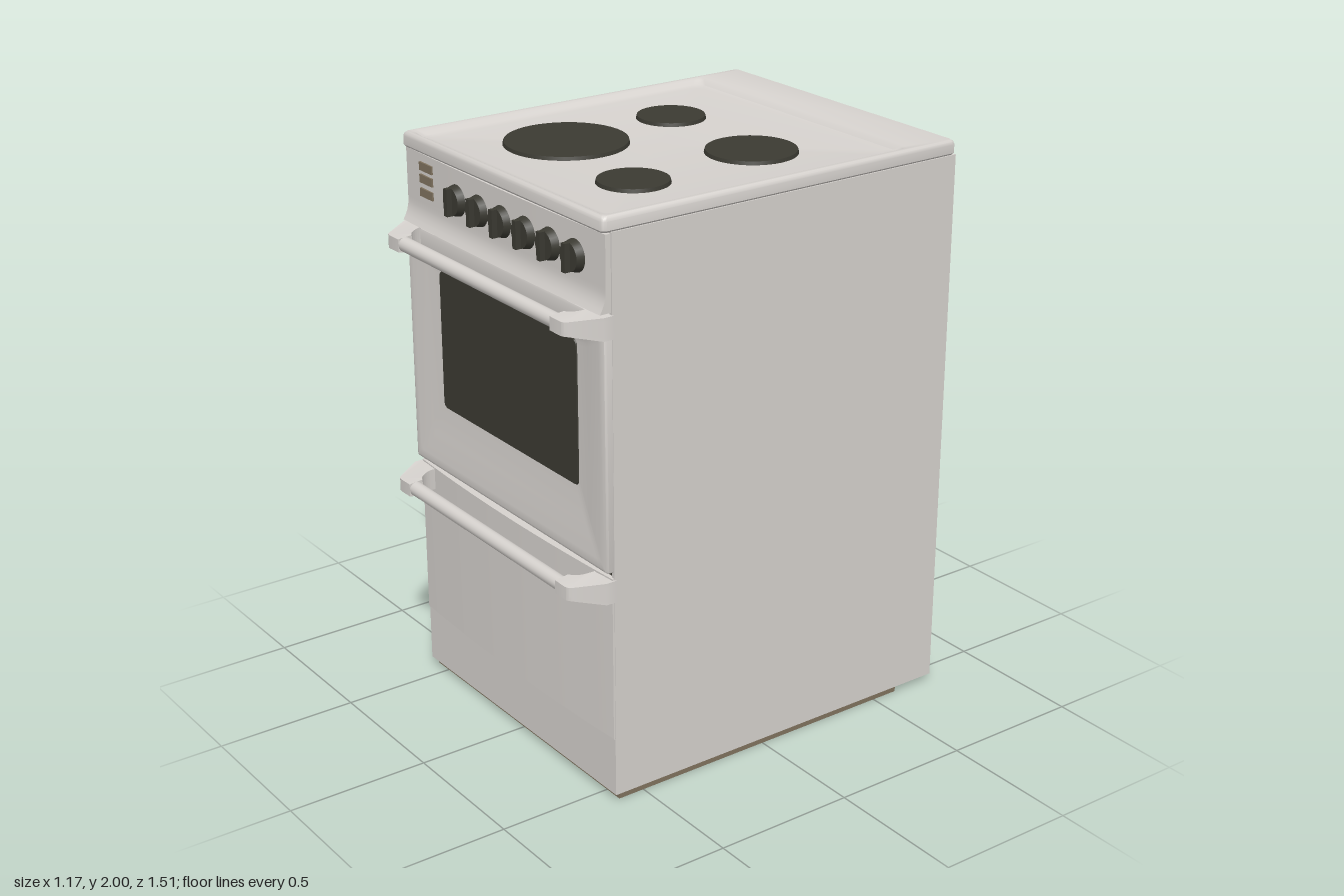
import * as THREE from 'three';
import { toCreasedNormals } from 'three/addons/utils/BufferGeometryUtils.js';

const mat = (name, color) => {
  const m = new THREE.MeshStandardMaterial({ color });
  m.name = name;
  return m;
};

// Rounded rectangle as a counter-clockwise loop of [u, v] points
function ring(u0, u1, v0, v1, r, seg = 5) {
  const pts = [];
  const corners = [[u1 - r, v0 + r, -0.5], [u1 - r, v1 - r, 0], [u0 + r, v1 - r, 0.5], [u0 + r, v0 + r, 1]];
  for (const [cu, cv, a] of corners) {
    for (let i = 0; i <= seg; i++) {
      const t = (a + 0.5 * i / seg) * Math.PI;
      pts.push([cu + r * Math.cos(t), cv + r * Math.sin(t)]);
    }
  }
  return pts;
}

// Skin through rounded-rectangle rings [u0, u1, v0, v1, r, w], closed by a flat cap
function loft(rings, place) {
  const pos = [], idx = [];
  const loops = rings.map(([u0, u1, v0, v1, r]) => ring(u0, u1, v0, v1, r));
  const n = loops[0].length;
  loops.forEach((loop, k) => loop.forEach(([u, v]) => pos.push(...place(u, v, rings[k][5]))));
  for (let k = 0; k < rings.length - 1; k++) {
    for (let i = 0; i < n; i++) {
      const a = k * n + i, b = k * n + (i + 1) % n;
      idx.push(a, b, b + n, a, b + n, a + n);
    }
  }
  const [u0, u1, v0, v1, , w] = rings[rings.length - 1];
  const c = rings.length * n;
  pos.push(...place((u0 + u1) / 2, (v0 + v1) / 2, w));
  for (let i = 0; i < n; i++) idx.push(c, c - n + i, c - n + (i + 1) % n);
  const g = new THREE.BufferGeometry();
  g.setAttribute('position', new THREE.Float32BufferAttribute(pos, 3));
  g.setIndex(idx);
  return toCreasedNormals(g, 0.6);
}
const facingUp = (u, v, w) => [u, w, -v];
const facingFront = (u, v, w) => [u, v, w];

// Plan outline [x, z] extruded upward from y0 to y1
function planExtrude(shape, y0, y1, steps = 1) {
  const g = new THREE.ExtrudeGeometry(shape, { depth: y1 - y0, bevelEnabled: false, curveSegments: 24, steps });
  return g.rotateX(-Math.PI / 2).translate(0, y0, 0);
}

// Front panel that bows gently outward in plan
function bowed(w, y0, y1, zEdge, zMid, steps) {
  const s = new THREE.Shape();
  s.moveTo(-w, -0.6);
  s.lineTo(-w, -zEdge);
  s.quadraticCurveTo(0, zEdge - 2 * zMid, w, -zEdge);
  s.lineTo(w, -0.6);
  return planExtrude(s, y0, y1, steps);
}

export function createModel() {
  const model = new THREE.Group();
  model.name = 'cooker';
  const enamel = mat('pale enamel', 0xd6d2ce);
  const dark = mat('dark iron', 0x3b3a32);
  const brown = mat('brown metal', 0x80735f);

  const add = (name, geo, material, parent = model) => {
    const m = new THREE.Mesh(geo, material);
    m.name = name;
    parent.add(m);
    return m;
  };
  const box = (name, x0, x1, y0, y1, z0, z1, material, parent) =>
    add(name, new THREE.BoxGeometry(x1 - x0, y1 - y0, z1 - z0)
      .translate((x0 + x1) / 2, (y0 + y1) / 2, (z0 + z1) / 2), material, parent);

  // Carcass
  for (const s of [-1, 1]) {
    const x = s * 0.573;
    box(s > 0 ? 'leftSidePanel' : 'rightSidePanel', x - 0.007, x + 0.007, 0.025, 1.95, -0.755, 0.615, enamel);
  }
  box('innerBody', -0.566, 0.566, 0.03, 1.95, -0.56, 0.608, dark);
  box('rearStep', -0.566, 0.566, 0.03, 0.1, -0.58, -0.56, dark);
  box('upperRearBox', -0.566, 0.566, 0.972, 1.949, -0.735, -0.56, dark);
  box('rearPanel', -0.566, 0.566, 0.972, 1.95, -0.743, -0.735, brown);
  box('base', -0.57, 0.57, 0, 0.03, -0.6, 0.597, brown);
  box('plinth', -0.58, 0.58, 0.026, 0.232, 0.55, 0.617, enamel);

  // Hob top with a raised rim and a shallow pan
  add('hobTop', loft([
    [-0.55, 0.55, -0.61, 0.73, 0.01, 1.947],
    [-0.574, 0.574, -0.641, 0.75, 0.015, 1.949],
    [-0.58, 0.58, -0.646, 0.755, 0.015, 1.956],
    [-0.58, 0.58, -0.646, 0.755, 0.015, 1.985],
    [-0.577, 0.577, -0.643, 0.752, 0.015, 1.994],
    [-0.57, 0.57, -0.637, 0.745, 0.015, 2.0],
    [-0.557, 0.557, -0.628, 0.57, 0.025, 2.0],
    [-0.548, 0.548, -0.618, 0.562, 0.025, 1.995],
    [-0.535, 0.535, -0.603, 0.55, 0.03, 1.983],
    [-0.51, 0.51, -0.578, 0.525, 0.04, 1.979],
  ], facingUp), enamel);

  // Hotplates
  for (const [x, z, r] of [[-0.245, -0.21, 0.12], [0.24, -0.175, 0.155], [-0.2, 0.248, 0.21], [0.285, 0.325, 0.12]]) {
    add('hotplate', new THREE.CylinderGeometry(r - 0.004, r, 0.016, 40).translate(x, 1.983, z), dark);
  }

  // Control panel, flared outward along its lower edge
  const panel = bowed(0.575, 1.697, 1.945, 0.634, 0.642, 16);
  const p = panel.attributes.position;
  for (let i = 0; i < p.count; i++) {
    const t = Math.max(0, (1.765 - p.getY(i)) / 0.068);
    if (p.getZ(i) > 0.62) p.setZ(i, p.getZ(i) + 0.022 * t * t);
  }
  add('controlPanel', toCreasedNormals(panel, 0.5), enamel);

  // Knobs with grips
  for (let i = 0; i < 6; i++) {
    const knob = new THREE.Group();
    knob.name = 'knob';
    knob.position.set(-0.25 + i * 0.135, 1.842, 0.64);
    model.add(knob);
    add('knobDisc', new THREE.CylinderGeometry(0.046, 0.053, 0.026, 28).rotateX(Math.PI / 2).translate(0, 0, 0.013), dark, knob);
    box('knobGrip', -0.01, 0.01, -0.046, 0.046, 0.02, 0.045, dark, knob);
  }

  // Indicator lamps
  for (const y of [1.904, 1.862, 1.815]) {
    box('indicatorLamp', -0.479, -0.401, y - 0.014, y + 0.014, 0.636, 0.644, brown);
  }

  // Oven door, sloping in toward the window
  add('ovenDoor', loft([
    [-0.578, 0.578, 0.832, 1.688, 0.008, 0.6],
    [-0.578, 0.578, 0.832, 1.688, 0.008, 0.634],
    [-0.574, 0.574, 0.837, 1.684, 0.008, 0.641],
    [-0.566, 0.566, 0.846, 1.676, 0.01, 0.644],
    [-0.545, 0.545, 0.87, 1.615, 0.02, 0.643],
    [-0.475, 0.475, 0.96, 1.585, 0.025, 0.634],
    [-0.407, 0.407, 1.066, 1.564, 0.02, 0.624],
  ], facingFront), enamel);
  add('ovenWindow', loft([
    [-0.405, 0.405, 1.068, 1.562, 0.02, 0.622],
    [-0.402, 0.402, 1.071, 1.559, 0.02, 0.628],
  ], facingFront), dark);

  // Storage drawer
  add('drawerFront', toCreasedNormals(bowed(0.578, 0.237, 0.812, 0.622, 0.641), 0.5), enamel);

  // Handles: a bar held by two swept brackets that taper toward the bar
  for (const [name, y] of [['ovenHandle', 1.653], ['drawerHandle', 0.77]]) {
    const handle = new THREE.Group();
    handle.name = name;
    handle.position.y = y;
    model.add(handle);
    add('handleBar', new THREE.CylinderGeometry(0.025, 0.025, 0.92, 20).rotateZ(Math.PI / 2).translate(0, 0.004, 0.726), enamel, handle);
    for (const s of [-1, 1]) {
      const shape = new THREE.Shape();
      shape.moveTo(s * 0.584, -0.61);
      shape.lineTo(s * 0.584, -0.648);
      shape.lineTo(s * 0.528, -0.738);
      shape.quadraticCurveTo(s * 0.52, -0.753, s * 0.5, -0.753);
      shape.lineTo(s * 0.448, -0.752);
      shape.lineTo(s * 0.448, -0.7);
      shape.quadraticCurveTo(s * 0.48, -0.69, s * 0.488, -0.645);
      shape.lineTo(s * 0.488, -0.61);
      const g = planExtrude(shape, -0.039, 0.037, 6);
      const q = g.attributes.position;
      for (let i = 0; i < q.count; i++) {
        const t = THREE.MathUtils.clamp((q.getZ(i) - 0.645) / 0.1, 0, 1);
        q.setY(i, q.getY(i) * (1 - 0.4 * t) + 0.004 * t);
      }
      add('handleBracket', toCreasedNormals(g, 0.6), enamel, handle);
    }
  }
  return model;
}
